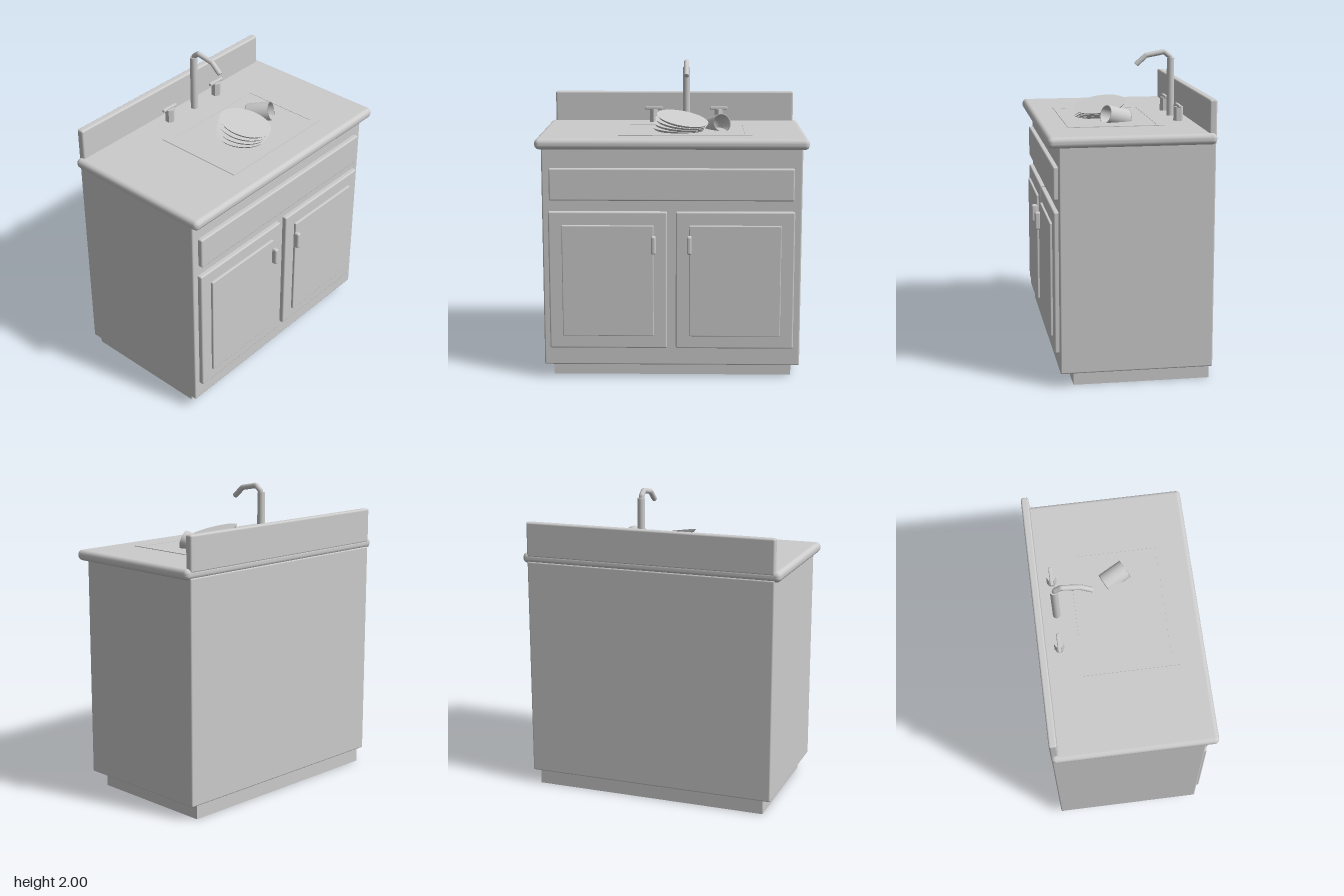
import * as THREE from 'three';
import { RoundedBoxGeometry } from 'three/addons/geometries/RoundedBoxGeometry.js';

export function createModel() {
  const model = new THREE.Group();
  model.name = 'sinkCabinet';
  const grey = new THREE.MeshStandardMaterial({ color: 0xcccccc });
  grey.name = 'plain grey';
  const greyOpen = new THREE.MeshStandardMaterial({ color: 0xcccccc, side: THREE.DoubleSide });
  greyOpen.name = 'plain grey';

  const add = (name, geometry, x = 0, y = 0, z = 0, material = grey) => {
    const mesh = new THREE.Mesh(geometry, material);
    mesh.name = name;
    mesh.position.set(x, y, z);
    model.add(mesh);
    return mesh;
  };
  // Box given by its limits, with softened edges
  const block = (name, x0, x1, y0, y1, z0, z1, r = 0) => {
    const size = [x1 - x0, y1 - y0, z1 - z0];
    const geometry = r ? new RoundedBoxGeometry(...size, 3, r) : new THREE.BoxGeometry(...size);
    return add(name, geometry, (x0 + x1) / 2, (y0 + y1) / 2, (z0 + z1) / 2);
  };

  // Cabinet, worktop and splashback
  block('toeKick', -0.77, 0.77, 0, 0.1, -0.5, 0.355);
  block('cabinetBody', -0.82, 0.82, 0.09, 1.51, -0.513, 0.44, 0.01);
  block('countertop', -0.855, 0.855, 1.497, 1.565, -0.515, 0.508, 0.03);
  block('backsplash', -0.82, 0.82, 1.54, 1.765, -0.516, -0.468, 0.012);

  // Drawer front and the two doors
  block('drawerFront', -0.772, 0.768, 1.17, 1.375, 0.42, 0.47, 0.01);
  for (const [side, x] of [['right', -0.405], ['left', 0.4]]) {
    const inward = -Math.sign(x);
    block(side + 'Door', x - 0.375, x + 0.375, 0.21, 1.1, 0.42, 0.47, 0.01);
    block(side + 'DoorPanel', x - 0.29, x + 0.29, 0.295, 1.015, 0.44, 0.486, 0.006);
    const hx = x + inward * 0.29;
    block(side + 'DoorHandle', hx - 0.015, hx + 0.015, 0.835, 0.953, 0.48, 0.52, 0.012);
  }

  // Flat sink rim around the basin floor
  const rim = new THREE.Shape();
  rim.moveTo(-0.34, -0.345).lineTo(0.505, -0.345).lineTo(0.505, 0.26).lineTo(-0.34, 0.26).closePath();
  const opening = new THREE.Path();
  opening.moveTo(-0.29, -0.295).lineTo(-0.29, 0.215).lineTo(0.46, 0.215).lineTo(0.46, -0.295).closePath();
  rim.holes.push(opening);
  const rimGeometry = new THREE.ExtrudeGeometry(rim, { depth: 0.004, bevelEnabled: false });
  rimGeometry.rotateX(-Math.PI / 2);
  add('sinkRim', rimGeometry, 0, 1.565, 0);
  block('basinFloor', -0.29, 0.46, 1.563, 1.567, -0.215, 0.295);

  // Tap column and bent spout
  add('tapColumn', new THREE.CylinderGeometry(0.024, 0.024, 0.38, 24), 0.085, 1.75, -0.378);
  const spoutPath = new THREE.CurvePath();
  const corners = [[1.92, -0.375], [1.95, -0.372], [1.98, -0.335], [1.958, -0.217], [1.9, -0.15]]
    .map(([y, z]) => new THREE.Vector3(0.085, y, z));
  for (let i = 1; i < corners.length; i++) {
    spoutPath.add(new THREE.LineCurve3(corners[i - 1], corners[i]));
  }
  add('tapSpout', new THREE.TubeGeometry(spoutPath, 48, 0.017, 12), 0, 0, 0, greyOpen);
  const end = add('spoutEnd', new THREE.CircleGeometry(0.017, 12), 0.085, 1.9, -0.15);
  end.lookAt(0.085, 1.9 - 0.058, -0.15 + 0.067);

  // Hot and cold valves: hexagonal base with a crossbar
  for (const [side, x] of [['right', -0.14], ['left', 0.305]]) {
    const base = new THREE.CylinderGeometry(0.031, 0.031, 0.092, 6).toNonIndexed();
    base.computeVertexNormals();
    add(side + 'ValveBase', base, x, 1.608, -0.385);
    block(side + 'ValveBar', x - 0.06, x + 0.06, 1.65, 1.67, -0.396, -0.375, 0.006);
  }

  // Leaning stack of plates: each leans further than the one below
  const plates = 4;
  for (let i = 0; i < plates; i++) {
    const t = i / (plates - 1);
    const plate = add('plate', new THREE.CylinderGeometry(0.17, 0.155, 0.016, 48),
      0.035 + 0.027 * t, 1.575 + 0.063 * t, 0.082);
    plate.rotation.set(0.04 + 0.13 * t, 0, -0.05 - 0.13 * t);
  }

  // Mug lying on its side, mouth forward and a little up
  const mugProfile = [[0, -0.08], [0.06, -0.08], [0.062, -0.074], [0.062, 0.08],
    [0.054, 0.08], [0.054, -0.07], [0, -0.07]].map(([r, y]) => new THREE.Vector2(r, y));
  const mugGeometry = new THREE.LatheGeometry(mugProfile, 32);
  const mug = add('mug', mugGeometry, 0.287, 1.594, 0.012, greyOpen);
  const axis = new THREE.Vector3(0.067, 0.045, 0.147).normalize();
  mug.quaternion.setFromUnitVectors(new THREE.Vector3(0, 1, 0), axis);

  return model;
}
